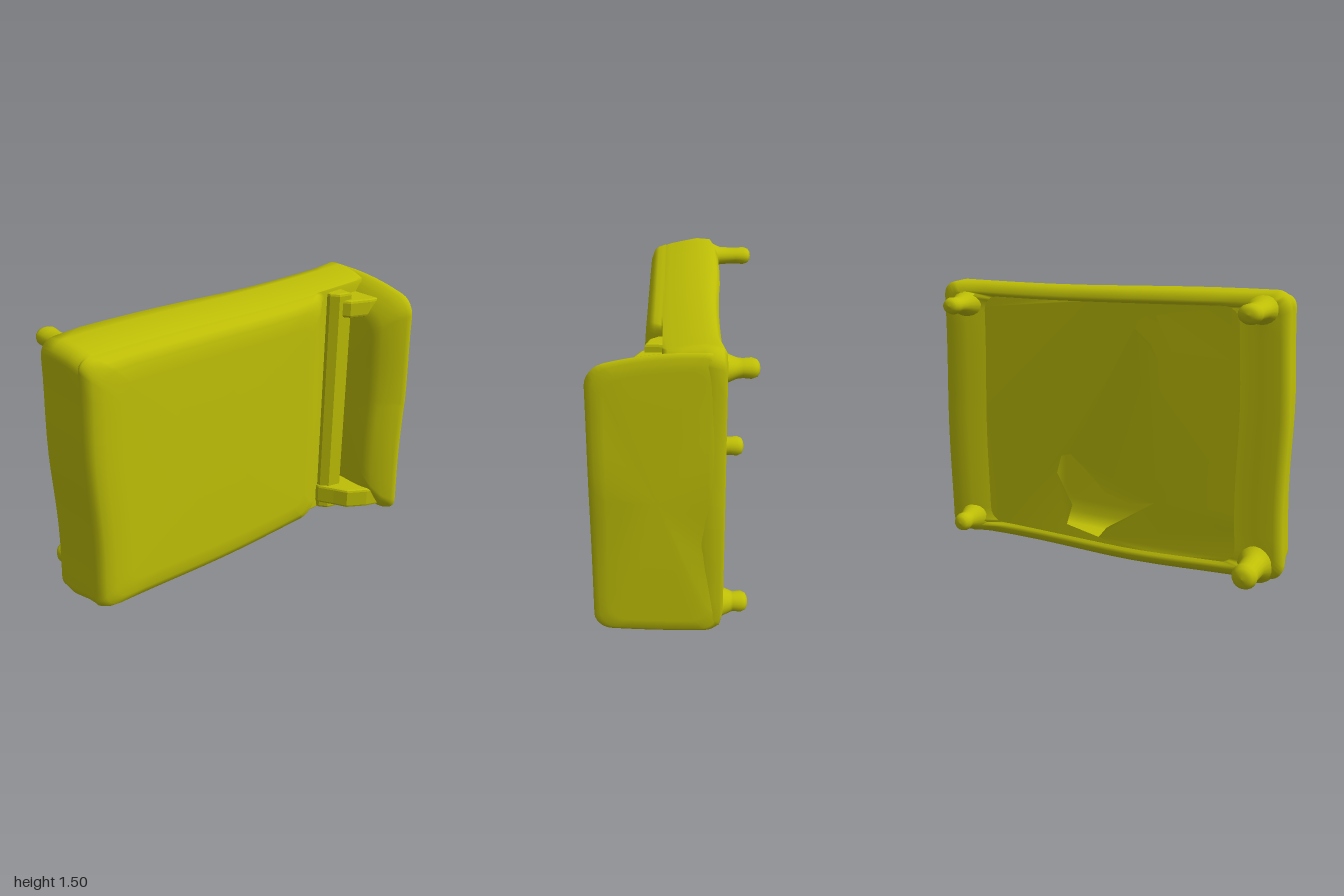
import * as THREE from 'three';

const mat = new THREE.MeshStandardMaterial({ color: 0xbebe06, side: THREE.DoubleSide });

// Rounded rectangle, counter-clockwise, with subdivided corners and edges
function ring(u0, u1, v0, v1, r) {
  const pts = [], corners = [[u1 - r, v1 - r], [u0 + r, v1 - r], [u0 + r, v0 + r], [u1 - r, v0 + r]];
  const arcEnd = (c, a) => [c[0] + r * Math.cos(a), c[1] + r * Math.sin(a)];
  corners.forEach((c, k) => {
    for (let i = 0; i <= 6; i++) pts.push(arcEnd(c, (k + i / 6) * Math.PI / 2));
    const a = pts[pts.length - 1], b = arcEnd(corners[(k + 1) % 4], (k + 1) * Math.PI / 2);
    for (let i = 1; i < 12; i++) pts.push([a[0] + (b[0] - a[0]) * i / 12, a[1] + (b[1] - a[1]) * i / 12]);
  });
  return pts;
}

// Skin through rings [w, u0, u1, v0, v1, r]; place(u, v, w) gives the xyz position
function loft(rows, place, capStart, capEnd) {
  const pos = [], idx = [];
  const rings = rows.map(([w, ...r]) => ring(...r).map(([u, v]) => place(u, v, w)));
  const n = rings[0].length;
  rings.forEach(r => r.forEach(p => pos.push(...p)));
  for (let j = 0; j < rings.length - 1; j++) for (let i = 0; i < n; i++) {
    const a = j * n + i, b = j * n + (i + 1) % n;
    idx.push(a, b, b + n, a, b + n, a + n);
  }
  const cap = (j, flip) => {
    const [w, u0, u1, v0, v1] = rows[j], c = pos.length / 3;
    pos.push(...place((u0 + u1) / 2, (v0 + v1) / 2, w));
    for (let i = 0; i < n; i++) {
      const a = j * n + i, b = j * n + (i + 1) % n;
      idx.push(...(flip ? [c, b, a] : [c, a, b]));
    }
  };
  if (capStart) cap(0, true);
  if (capEnd) cap(rows.length - 1, false);
  const g = new THREE.BufferGeometry();
  g.setAttribute('position', new THREE.Float32BufferAttribute(pos, 3));
  g.setIndex(idx);
  g.computeVertexNormals();
  return g;
}

// Gentle unevenness of the outline; the underside slopes forward toward the headboard
const wobble = (x, y, z) => [
  x + (x < 0 ? 0.014 * (1 - Math.cos(y * 6.5 + 0.4)) / 2 : -0.006 * (1 + Math.cos(y * 5))),
  y + (y > 0.75 ? 0.008 * Math.cos(3 * (x + 0.7)) : 0.01 * (1 - Math.cos(4 * (x + 0.1)))),
  z + (z < -0.15 && Math.abs(x) < 0.8 ? 0.02 * Math.tanh(3 * x) : 0)];

export function createModel() {
  const group = new THREE.Group();
  const add = (name, geo) => {
    const m = new THREE.Mesh(geo, mat);
    m.name = name;
    group.add(m);
    return m;
  };

  // Hollow bed frame: shallow underside rim, outer wall, then a step in to the raised mattress
  const body = [
    [-0.182, -0.75, 0.75, 0.085, 1.41, 0.08],
    [-0.192, -0.85, 0.85, 0.072, 1.42, 0.08],
    [-0.2, -0.95, 0.95, 0.055, 1.435, 0.08],
    [-0.18, -0.998, 0.995, 0.02, 1.48, 0.08],
    [-0.1, -0.985, 0.975, 0, 1.49, 0.08],
    [0, -0.965, 0.97, 0.015, 1.475, 0.08],
    [0.06, -0.96, 0.96, 0.022, 1.463, 0.08],
    [0.083, -0.956, 0.93, 0.03, 1.455, 0.08],
    [0.085, -0.955, 0.62, 0.03, 1.455, 0.06],
    [0.095, -0.953, 0.59, 0.033, 1.452, 0.06],
    [0.125, -0.943, 0.56, 0.042, 1.447, 0.07],
    [0.15, -0.92, 0.53, 0.058, 1.432, 0.08],
    [0.168, -0.87, 0.49, 0.1, 1.39, 0.08],
    [0.175, -0.78, 0.43, 0.18, 1.3, 0.08]];
  add('frameAndMattress', loft(body, wobble, false, true));

  // Underside panel with two ragged openings
  const vec = list => list.map(([x, y]) => new THREE.Vector2(x, y));
  const panel = new THREE.Shape(vec(ring(-0.75, 0.75, 0.085, 1.41, 0.08)));
  const holes = [
    [[0.21, 0.56], [0.27, 0.54], [0.3, 0.44], [0.21, 0.27], [0.25, 0.15], [0.05, 0.115],
      [-0.02, 0.18], [-0.31, 0.36], [-0.17, 0.34], [-0.02, 0.38], [0.12, 0.49]],
    [[-0.22, 1.34], [-0.31, 1.35], [-0.37, 1.22], [-0.41, 1.13], [-0.33, 1.09], [-0.28, 1.2], [-0.19, 1.28]]];
  holes.forEach(h => panel.holes.push(new THREE.Path(vec(h))));
  const back = new THREE.ShapeGeometry(panel);
  const p = back.attributes.position, ix = back.index.array;
  for (let i = 0; i < p.count; i++) p.setXYZ(i, ...wobble(p.getX(i), p.getY(i), -0.182));
  for (let i = 0; i < ix.length; i += 3) [ix[i], ix[i + 1]] = [ix[i + 1], ix[i]];
  back.computeVertexNormals();
  add('undersidePanel', back);

  // Headboard: thin upright slab with a tapering lip, its ends drawn in toward the front
  const board = [
    [0.8, 0.22, 1.3, -0.1, 0.28, 0.08],
    [0.83, 0.14, 1.36, -0.14, 0.33, 0.08],
    [0.88, 0.07, 1.43, -0.17, 0.375, 0.08],
    [0.925, 0.04, 1.46, -0.19, 0.41, 0.08],
    [0.955, 0.03, 1.47, -0.19, 0.42, 0.08],
    [0.97, 0.05, 1.45, -0.17, 0.39, 0.08],
    [0.978, 0.1, 1.39, -0.12, 0.34, 0.08]];
  add('headboard', loft(board, (y, z, x) => {
    const f = Math.max(0, z + 0.05) / 0.45;
    return [x + 0.006 * Math.cos(y * 7), y + (y > 0.75 ? -0.065 * f * f : 0.02 * f * f), z];
  }, true, true));

  // Low rib running alongside the headboard, and the webs joining it near both ends
  const upright = (name, pts, y0, y1) => {
    const g = new THREE.ExtrudeGeometry(new THREE.Shape(vec(pts.map(([x, z]) => [x, -z]))), {
      depth: y1 - y0 - 0.03, bevelSize: 0.012, bevelThickness: 0.015, bevelSegments: 2 });
    g.rotateX(-Math.PI / 2).translate(0, y0 + 0.015, 0);
    add(name, g);
  };
  upright('rib', [[0.63, 0.03], [0.64, 0.1], [0.67, 0.135], [0.725, 0.15], [0.73, 0.03]], 0.05, 1.43);
  const web = [[0.62, 0.02], [0.63, 0.1], [0.68, 0.18], [0.72, 0.25], [0.82, 0.31], [0.9, 0.34], [0.92, 0.02]];
  upright('lowerWeb', web, 0.09, 0.21);
  upright('upperWeb', web.map(([x, z]) => [x, z * 0.7]), 1.29, 1.39);

  // Four stubby feet with flared roots and rounded tips: x, y, tip depth, radius, height ratio
  const feet = [
    ['upperRightFoot', -0.84, 1.405, 0.42, 0.062, 0.8],
    ['lowerRightFoot', -0.85, 0.115, 0.42, 0.066, 1],
    ['upperLeftFoot', 0.85, 1.36, 0.345, 0.055, 0.85],
    ['lowerLeftFoot', 0.85, 0.12, 0.325, 0.052, 1]];
  feet.forEach(([name, x, y, tip, r, squash]) => {
    const len = tip - 0.17;
    const prof = [[r * 1.7, 0], [r * 1.35, 0.03], [r, 0.07], [r * 0.92, len - r * 1.4], [r, len - r * 0.7],
      [r * 0.8, len - r * 0.25], [r * 0.45, len - r * 0.06], [0, len]];
    const foot = add(name, new THREE.LatheGeometry(vec(prof), 20));
    foot.rotation.x = -Math.PI / 2;
    foot.position.set(x, y, -0.17);
    foot.scale.z = squash;
  });
  return group;
}
